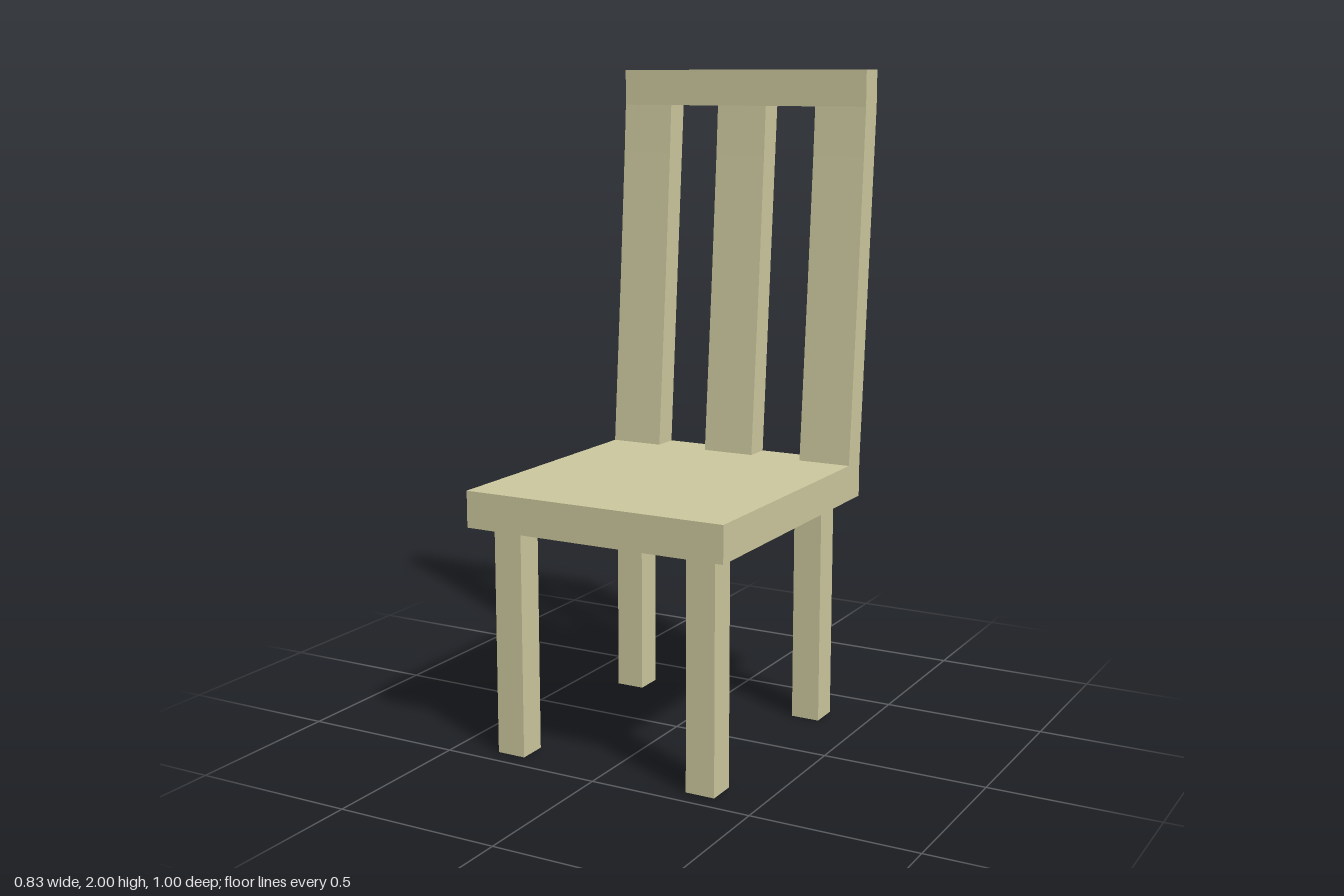
import * as THREE from 'three';

const HALF_WIDTH = 0.417;
const SEAT_BOTTOM = 0.695;
const SEAT_TOP = 0.805;
const RAIL_BOTTOM = 1.89;

export function createModel() {
  const chair = new THREE.Group();
  chair.name = 'chair';
  const wood = new THREE.MeshStandardMaterial({ color: 0xccc89e });
  wood.name = 'pale wood';

  // Box given by its lower and upper limits on each axis
  function addBox(name, [x0, x1], [y0, y1], [z0, z1]) {
    const mesh = new THREE.Mesh(new THREE.BoxGeometry(x1 - x0, y1 - y0, z1 - z0), wood);
    mesh.position.set((x0 + x1) / 2, (y0 + y1) / 2, (z0 + z1) / 2);
    mesh.name = name;
    chair.add(mesh);
  }

  // Seat and top rail
  addBox('seat', [-HALF_WIDTH, HALF_WIDTH], [SEAT_BOTTOM, SEAT_TOP], [-0.418, 0.5]);
  addBox('topRail', [-HALF_WIDTH, HALF_WIDTH], [RAIL_BOTTOM, 2], [-0.5, -0.418]);

  // Four square legs
  for (const [side, x] of [['Left', 0.317], ['Right', -0.317]]) {
    for (const [end, z] of [['front', 0.397], ['back', -0.303]]) {
      addBox(`${end}${side}Leg`, [x - 0.045, x + 0.045], [0, SEAT_BOTTOM], [z - 0.045, z + 0.045]);
    }
  }

  // Leaning back slats: side profile (z, y) with a gently curved front
  const profile = new THREE.Shape([
    [-0.337, SEAT_TOP], [-0.418, SEAT_TOP], [-0.5, RAIL_BOTTOM],
    [-0.418, RAIL_BOTTOM], [-0.409, 1.74], [-0.38, 1.34],
  ].map(([z, y]) => new THREE.Vector2(z, y)));

  function addSlat(name, x0, x1) {
    const geometry = new THREE.ExtrudeGeometry(profile, { depth: x1 - x0, bevelEnabled: false });
    geometry.rotateY(-Math.PI / 2);
    geometry.translate(x1, 0, 0);
    const slat = new THREE.Mesh(geometry, wood);
    slat.name = name;
    chair.add(slat);
  }
  addSlat('rightSlat', -HALF_WIDTH, -0.25);
  addSlat('middleSlat', -0.083, 0.083);
  addSlat('leftSlat', 0.25, HALF_WIDTH);

  return chair;
}
